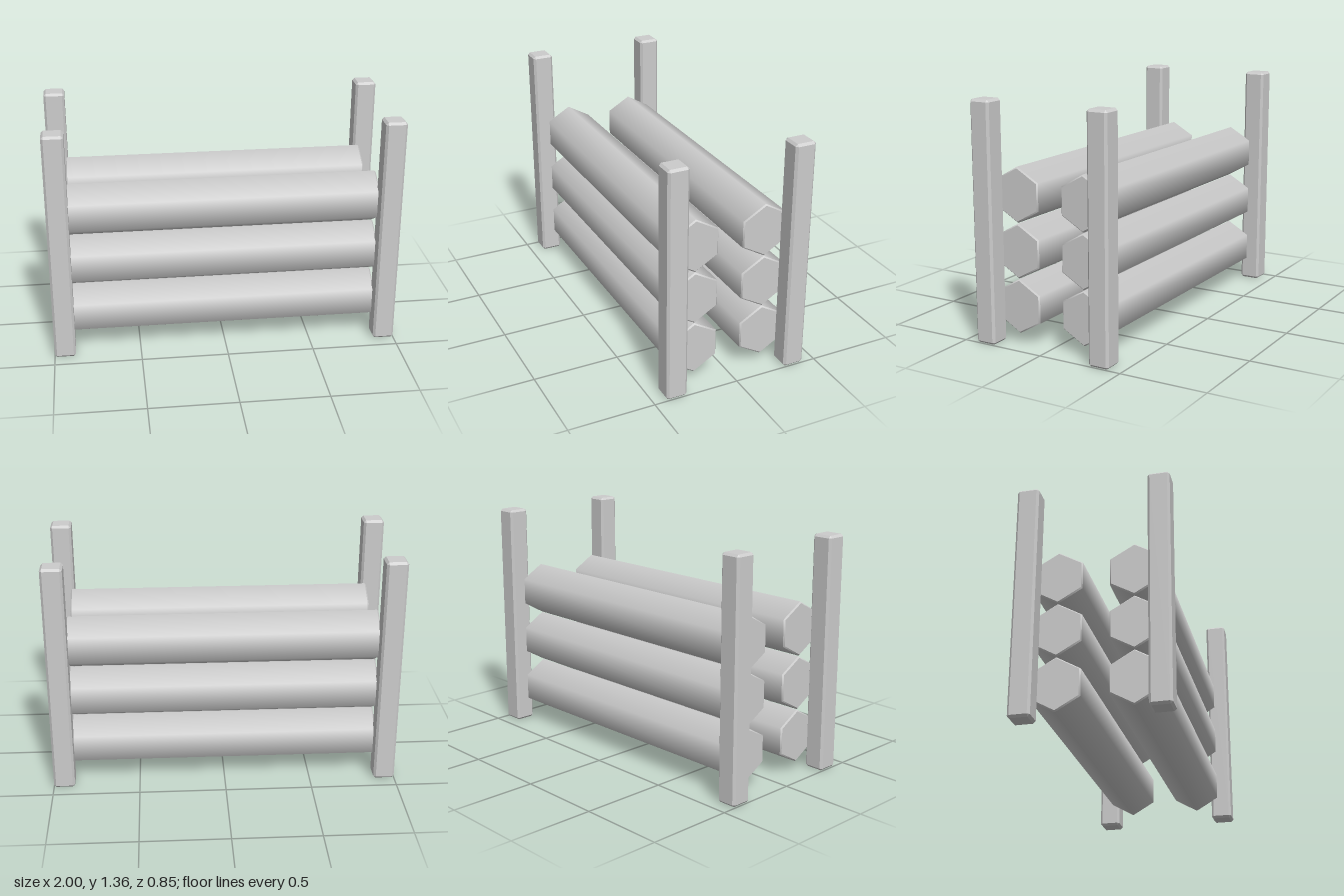
import * as THREE from 'three';
import { mergeGeometries } from 'three/addons/utils/BufferGeometryUtils.js';
import { ConvexGeometry } from 'three/addons/geometries/ConvexGeometry.js';

// Box with flat chamfers on every edge
function chamferedBox(w, h, d, c) {
  const points = [];
  const half = [w / 2, h / 2, d / 2];
  for (const sx of [-1, 1]) for (const sy of [-1, 1]) for (const sz of [-1, 1]) {
    const signs = [sx, sy, sz];
    for (let face = 0; face < 3; face++) {
      points.push(new THREE.Vector3(...half.map((v, i) => signs[i] * (i === face ? v : v - c))));
    }
  }
  return new ConvexGeometry(points);
}

// Smooth-shaded hexagonal log along x, with a narrow bevel and flat cap at each end
function logGeometry(radius, length, bevel) {
  const straight = length - 2 * bevel;
  const turn = Math.PI / 6;
  const body = new THREE.CylinderGeometry(radius, radius, straight, 6, 1, true, turn);
  const parts = [body];
  for (const end of [1, -1]) {
    const rim = new THREE.CylinderGeometry(radius - bevel, radius, bevel, 6, 1, true, turn);
    rim.translate(0, (straight + bevel) / 2, 0);
    const cap = new THREE.CircleGeometry(radius - bevel, 6);
    cap.rotateX(-Math.PI / 2);
    cap.translate(0, length / 2, 0);
    for (const part of [rim, cap]) {
      if (end < 0) part.rotateX(Math.PI);
      parts.push(part);
    }
  }
  return mergeGeometries(parts).rotateZ(Math.PI / 2);
}

export function createModel() {
  const model = new THREE.Group();
  model.name = 'logRack';
  const grey = new THREE.MeshStandardMaterial({ color: 0xcccccc });
  grey.name = 'lightGrey';

  const height = 1.355;
  const postGeometry = chamferedBox(0.122, height, 0.122, 0.013);
  const hexLog = logGeometry(0.155, 1.78, 0.008);

  const add = (name, geometry, x, y, z) => {
    const mesh = new THREE.Mesh(geometry, grey);
    mesh.name = name;
    mesh.position.set(x, y, z);
    model.add(mesh);
  };

  for (const [side, s] of [['front', 1], ['back', -1]]) {
    // Corner posts
    add(side + 'LeftPost', postGeometry, 0.939, height / 2, s * 0.365);
    add(side + 'RightPost', postGeometry, -0.939, height / 2, s * 0.365);
    // Three stacked logs
    for (let i = 0; i < 3; i++) {
      add(side + 'Log' + (i + 1), hexLog, 0, 0.211 + i * 0.313, s * 0.209);
    }
  }
  return model;
}
